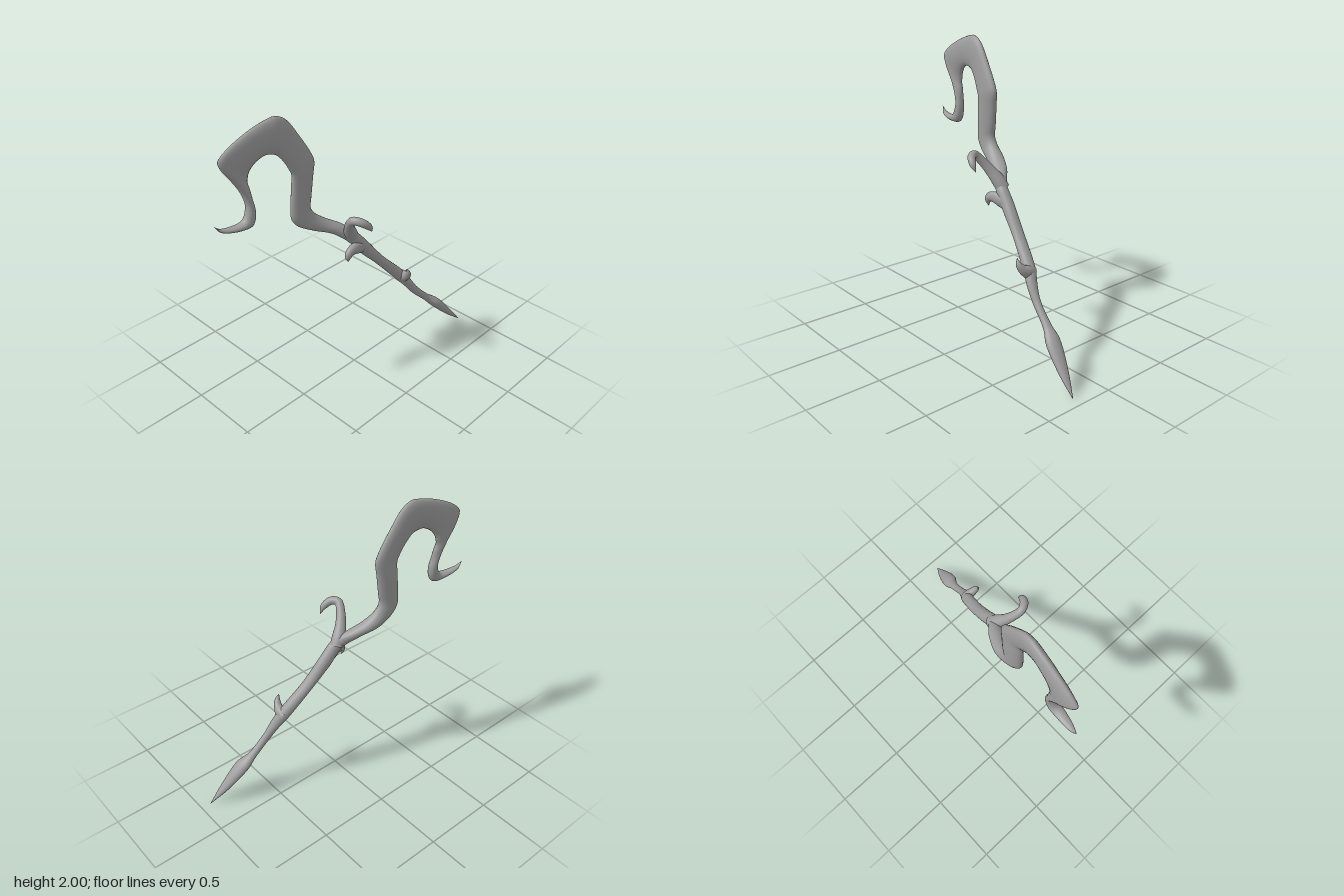
import * as THREE from 'three';

const SIDES = 24;
const material = new THREE.MeshStandardMaterial({ color: 0x9d9d9d });
const vec = (x, y, z) => new THREE.Vector3(x, y, z);

// Skins a row of oval rings; ringAt(t) gives centre p and half-axis vectors thick and wide.
function skin(name, steps, ringAt) {
  const positions = [], indices = [];
  for (let i = 0; i <= steps; i++) {
    const { p, thick, wide } = ringAt(i / steps);
    for (let j = 0; j < SIDES; j++) {
      const a = (j / SIDES) * Math.PI * 2;
      const v = p.clone().addScaledVector(thick, Math.cos(a)).addScaledVector(wide, Math.sin(a));
      positions.push(v.x, v.y, v.z);
      if (i < steps) {
        const k = (j + 1) % SIDES, a0 = i * SIDES, b0 = a0 + SIDES;
        indices.push(a0 + j, a0 + k, b0 + j, a0 + k, b0 + k, b0 + j);
      }
    }
  }
  const geometry = new THREE.BufferGeometry();
  geometry.setAttribute('position', new THREE.Float32BufferAttribute(positions, 3));
  geometry.setIndex(indices);
  geometry.computeVertexNormals();
  const mesh = new THREE.Mesh(geometry, material);
  mesh.name = name;
  return mesh;
}

const sizeCurve = points => new THREE.CatmullRomCurve3(points, false, 'catmullrom', 0.5);

// Body between an outer and an inner edge: [x, halfThickness, outerY, outerZ, innerY, innerZ]
function betweenEdges(name, stations, steps) {
  const outer = new THREE.CatmullRomCurve3(stations.map(s => vec(s[0], s[2], s[3])));
  const inner = new THREE.CatmullRomCurve3(stations.map(s => vec(s[0], s[4], s[5])));
  const size = sizeCurve(stations.map(s => vec(s[1], 0, 0)));
  return skin(name, steps, t => {
    const o = outer.getPoint(t), n = inner.getPoint(t);
    return {
      p: o.clone().add(n).multiplyScalar(0.5),
      thick: vec(Math.max(size.getPoint(t).x, 0.001), 0, 0),
      wide: o.sub(n).multiplyScalar(0.5),
    };
  });
}

// Twig along a path: [x, y, z, halfThickness along axis, halfWidth across it]
function twig(name, stations, axis) {
  const path = new THREE.CatmullRomCurve3(stations.map(s => vec(s[0], s[1], s[2])));
  const size = sizeCurve(stations.map(s => vec(s[3], s[4] ?? s[3], 0)));
  return skin(name, 40, t => {
    const r = size.getPoint(t), tangent = path.getTangent(t);
    const thick = axis.clone().addScaledVector(tangent, -axis.dot(tangent)).normalize();
    const wide = vec(0, 0, 0).crossVectors(tangent, thick);
    return {
      p: path.getPoint(t),
      thick: thick.multiplyScalar(Math.max(r.x, 0.001)),
      wide: wide.multiplyScalar(Math.max(r.y, 0.001)),
    };
  });
}

export function createModel() {
  const group = new THREE.Group();
  group.name = 'woodenStaff';

  // Pointed foot and shaft
  const shaft = [
    [0.235, 0.001, 0.007, -0.932, 0.005, -0.930],
    [0.205, 0.035, 0.137, -0.837, 0.103, -0.803],
    [0.172, 0.054, 0.285, -0.715, 0.235, -0.665],
    [0.150, 0.030, 0.353, -0.628, 0.317, -0.592],
    [0.132, 0.026, 0.470, -0.515, 0.430, -0.475],
    [0.112, 0.037, 0.563, -0.453, 0.517, -0.407],
    [0.088, 0.043, 0.638, -0.408, 0.582, -0.352],
    [0.037, 0.042, 0.824, -0.234, 0.776, -0.186],
    [0.010, 0.043, 0.982, -0.112, 0.918, -0.048],
    [-0.008, 0.042, 1.090, -0.020, 1.030, 0.040],
    [-0.070, 0.050, 1.157, 0.053, 1.114, 0.138],
  ];
  // Flattened crook with angular bends, ending in a curled tip
  const crook = [
    [-0.122, 0.055, 1.220, 0.154, 1.167, 0.255],
    [-0.142, 0.047, 1.284, 0.228, 1.231, 0.361],
    [-0.146, 0.044, 1.337, 0.255, 1.290, 0.403],
    [-0.145, 0.042, 1.422, 0.244, 1.369, 0.408],
    [-0.140, 0.040, 1.554, 0.228, 1.523, 0.398],
    [-0.136, 0.038, 1.645, 0.218, 1.607, 0.398],
    [-0.138, 0.037, 1.703, 0.239, 1.645, 0.414],
    [-0.148, 0.036, 1.846, 0.324, 1.714, 0.451],
    [-0.158, 0.036, 1.963, 0.408, 1.767, 0.499],
    [-0.166, 0.036, 2.000, 0.475, 1.782, 0.546],
    [-0.172, 0.036, 1.998, 0.520, 1.782, 0.578],
    [-0.186, 0.036, 1.957, 0.668, 1.756, 0.631],
    [-0.200, 0.034, 1.878, 0.828, 1.708, 0.668],
    [-0.205, 0.033, 1.830, 0.875, 1.671, 0.679],
    [-0.205, 0.033, 1.777, 0.859, 1.639, 0.684],
    [-0.201, 0.032, 1.666, 0.785, 1.591, 0.674],
    [-0.196, 0.032, 1.581, 0.737, 1.533, 0.668],
    [-0.190, 0.033, 1.501, 0.716, 1.469, 0.658],
    [-0.186, 0.035, 1.438, 0.732, 1.406, 0.663],
    [-0.186, 0.037, 1.411, 0.753, 1.363, 0.690],
    [-0.192, 0.034, 1.400, 0.796, 1.358, 0.775],
    [-0.204, 0.025, 1.403, 0.865, 1.374, 0.865],
    [-0.213, 0.015, 1.416, 0.907, 1.390, 0.902],
    [-0.220, 0.001, 1.438, 0.935, 1.435, 0.934],
  ];
  group.add(betweenEdges('shaftAndCrook', [...shaft, ...crook], 204));

  // Long twig curling over at the side
  group.add(twig('curledTwig', [
    [-0.015, 1.05, 0.0, 0.045],
    [0.0, 1.105, 0.035, 0.045],
    [0.03, 1.165, 0.075, 0.036],
    [0.07, 1.228, 0.11, 0.03],
    [0.12, 1.28, 0.13, 0.027],
    [0.165, 1.275, 0.105, 0.027],
    [0.19, 1.235, 0.06, 0.021],
    [0.188, 1.19, 0.032, 0.001],
  ], vec(-0.15, 0.57, -0.8).normalize()));

  // Short thorn hooking down at the front
  group.add(twig('frontThorn', [
    [0.01, 0.955, -0.075, 0.03, 0.04],
    [0.02, 0.98, -0.02, 0.035, 0.046],
    [0.03, 0.992, 0.04, 0.03, 0.038],
    [0.036, 0.982, 0.082, 0.025, 0.03],
    [0.037, 0.955, 0.095, 0.018, 0.022],
    [0.035, 0.92, 0.09, 0.001],
  ], vec(1, 0, 0)));

  // Small thorn turning up lower on the shaft
  group.add(twig('lowerThorn', [
    [0.075, 0.595, -0.39, 0.034, 0.045],
    [0.115, 0.617, -0.387, 0.034, 0.042],
    [0.15, 0.642, -0.378, 0.028, 0.03],
    [0.17, 0.675, -0.365, 0.019],
    [0.171, 0.715, -0.35, 0.001],
  ], vec(0, 0, 1)));

  return group;
}
